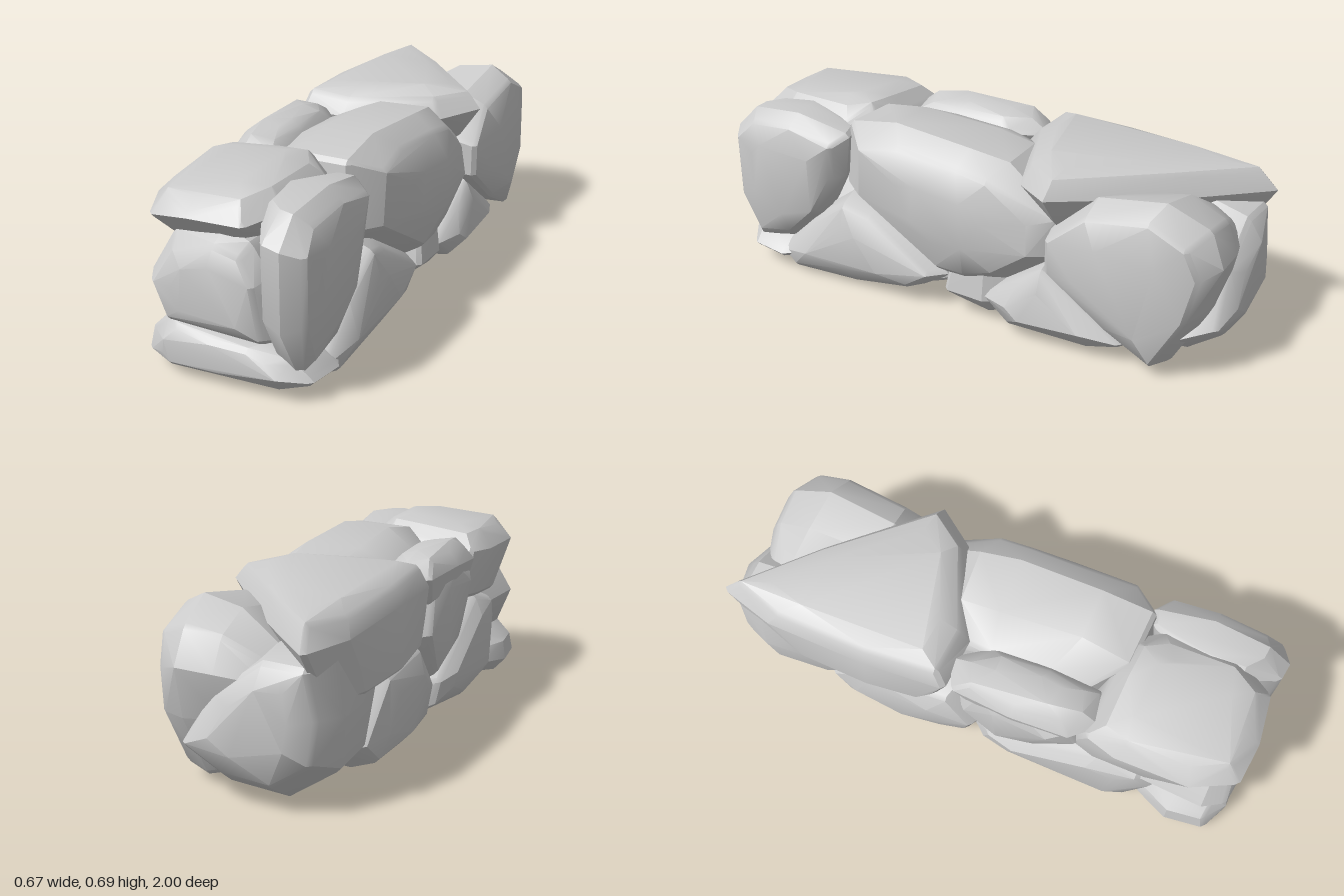
import * as THREE from 'three';
import { toCreasedNormals } from 'three/addons/utils/BufferGeometryUtils.js';
import { ConvexGeometry } from 'three/addons/geometries/ConvexGeometry.js';

const BEVEL = 0.016;
const material = new THREE.MeshStandardMaterial({ color: 0xcccccc });

// Places an outline point (a, b) at depth d along the stone's axis.
const place = {
  x: (a, b, d) => new THREE.Vector3(d, b, a), // outline in (z, y)
  y: (a, b, d) => new THREE.Vector3(a, d, b), // outline in (x, z)
  z: (a, b, d) => new THREE.Vector3(a, b, d), // outline in (x, y)
};
const bevelOffsets = [];
for (const s of [-BEVEL, BEVEL]) {
  bevelOffsets.push(new THREE.Vector3(s, 0, 0), new THREE.Vector3(0, s, 0), new THREE.Vector3(0, 0, s));
}

// A faceted boulder: the outline is repeated in rings [depth, scale, shiftA, shiftB],
// tilted by a slope and slightly uneven in depth, then hulled with a small bevel on every edge.
function stone(name, axis, outline, rings, [slopeA, slopeB] = [0, 0]) {
  const ca = outline.reduce((s, p) => s + p[0], 0) / outline.length;
  const cb = outline.reduce((s, p) => s + p[1], 0) / outline.length;
  const points = [];
  rings.forEach(([depth, scale, shiftA = 0, shiftB = 0], k) => {
    outline.forEach(([a, b], i) => {
      const da = a - ca, db = b - cb;
      const f = scale * (1 - BEVEL / Math.hypot(da, db));
      const d = depth + slopeA * da + slopeB * db + 0.008 * Math.sin(i * 2.4 + k * 1.7);
      const p = place[axis](ca + da * f + shiftA, cb + db * f + shiftB, d);
      for (const o of bevelOffsets) points.push(p.clone().add(o));
    });
  });
  const mesh = new THREE.Mesh(toCreasedNormals(new ConvexGeometry(points), 0.45), material);
  mesh.name = name;
  return mesh;
}

export function createModel() {
  const group = new THREE.Group();
  group.name = 'boulderWall';
  const add = (...args) => group.add(stone(...args));

  // Stones of the +x side
  add('frontPillarStone', 'x',
    [[1, 0.556], [0.92, 0.636], [0.7, 0.66], [0.49, 0.61], [0.5, 0.45], [0.6, 0.26], [0.75, 0.12], [0.92, 0.09], [1, 0.26]],
    [[0.305, 0.55], [0.285, 0.86], [0.24, 1], [0.18, 0.95, 0, 0.015], [0.13, 0.62, 0, 0.09]]);
  add('lowerFrontStone', 'x',
    [[0.49, 0.38], [0.36, 0.34], [0.07, 0.14], [0.17, 0.07], [0.46, 0.005], [0.78, 0.01], [0.85, 0.06], [0.68, 0.24]],
    [[0.305, 0.5], [0.275, 0.88], [0.22, 1], [0.08, 0.9], [0, 0.6]]);
  add('middleStone', 'x',
    [[0.5, 0.65], [0.31, 0.685], [-0.02, 0.665], [-0.18, 0.635], [-0.38, 0.475], [-0.39, 0.33], [-0.2, 0.18],
      [-0.05, 0.13], [0.09, 0.14], [0.37, 0.33], [0.52, 0.41]],
    [[0.31, 0.4], [0.275, 0.8], [0.2, 1], [0, 0.97], [-0.12, 0.72]]);
  add('lowerBackStone', 'x',
    [[-0.34, 0.32], [-0.68, 0.075], [-0.55, 0.04], [-0.18, 0.035], [-0.07, 0.12], [-0.23, 0.24]],
    [[0.3, 0.5], [0.265, 0.9], [0.2, 1], [0.08, 0.92], [0, 0.65]]);
  add('backStone', 'x',
    [[-0.35, 0.46], [-0.5, 0.59], [-0.77, 0.64], [-0.92, 0.57], [-0.97, 0.45], [-0.93, 0.26], [-0.8, 0.03], [-0.6, 0.13], [-0.35, 0.32]],
    [[0.31, 0.55, 0.03, -0.03], [0.285, 0.9, 0.02, -0.015], [0.2, 1], [0.06, 0.88, -0.03], [-0.1, 0.45, -0.1]]);

  // Stones of the -x side
  add('leftMiddleStone', 'x',
    [[0, 0.6], [0.2, 0.62], [0.4, 0.57], [0.43, 0.45], [0.25, 0.26], [0.03, 0.16], [-0.08, 0.35]],
    [[-0.31, 0.55], [-0.285, 0.88], [-0.23, 1], [-0.08, 0.9], [0, 0.6]]);
  add('leftLowerBackStone', 'x',
    [[-0.65, 0.12], [-0.57, 0.04], [-0.3, 0.015], [0, 0.05], [0.03, 0.18], [-0.08, 0.36], [-0.45, 0.34]],
    [[-0.31, 0.55], [-0.28, 0.87], [-0.21, 1], [0.02, 0.92], [0.14, 0.65]]);
  add('leftLowerFrontStone', 'x',
    [[-0.03, 0.06], [0.3, 0.015], [0.65, 0.04], [0.74, 0.28], [0.68, 0.37], [0.5, 0.42], [0.25, 0.28], [0, 0.15]],
    [[-0.31, 0.6], [-0.285, 0.88], [-0.23, 1], [0.08, 0.94, 0.03], [0.18, 0.7, 0.06, -0.03]]);

  // Top stones
  add('topBackStone', 'y',
    [[-0.25, -0.99], [-0.31, -0.8], [-0.335, -0.4], [-0.31, -0.1], [-0.12, -0.08], [0, -0.17], [0.22, -0.22], [0.32, -0.36], [0, -0.74]],
    [[0.645, 0.7], [0.625, 0.9], [0.57, 1], [0.46, 0.87, -0.03], [0.37, 0.68, -0.08]], [0.03, 0.03]);
  add('topSmallStone', 'y',
    [[-0.3, -0.08], [-0.2, -0.12], [-0.12, 0], [-0.1, 0.25], [-0.13, 0.43], [-0.24, 0.46], [-0.31, 0.38], [-0.33, 0.15]],
    [[0.635, 0.45], [0.62, 0.78], [0.58, 1], [0.5, 0.85]]);
  add('topFrontStone', 'y',
    [[-0.325, 0.53], [-0.29, 0.42], [-0.05, 0.43], [0.1, 0.45], [0.16, 0.55], [0.16, 0.85], [0.09, 0.97], [-0.1, 0.99], [-0.25, 0.97], [-0.325, 0.82]],
    [[0.65, 0.55], [0.637, 0.83], [0.59, 1], [0.5, 0.87, -0.02, -0.07], [0.42, 0.72, -0.04, -0.12]], [0.06, -0.03]);

  // Front and back end stones
  add('frontStone', 'z',
    [[-0.31, 0.33], [-0.22, 0.485], [-0.13, 0.5], [-0.02, 0.535], [0.08, 0.5], [0.14, 0.4], [0.165, 0.17], [-0.08, 0.17], [-0.25, 0.185]],
    [[0.965, 0.55, 0.01, -0.02], [0.945, 0.85, 0.005, -0.01], [0.89, 1], [0.62, 0.92]]);
  add('frontBaseStone', 'z',
    [[-0.325, 0.05], [-0.315, 0.13], [-0.25, 0.195], [-0.05, 0.18], [0.16, 0.165], [0.25, 0.13], [0.32, 0.07], [0.2, 0.02], [0, 0.01], [-0.29, 0.01]],
    [[0.965, 0.7, 0, 0.015], [0.92, 0.95, 0, 0.005], [0.79, 1], [0.67, 0.8], [0.57, 0.5]]);
  add('backBaseStone', 'z',
    [[-0.325, 0.32], [-0.29, 0.52], [-0.1, 0.53], [0.12, 0.38], [0.26, 0.15], [0.1, 0.04], [-0.13, 0.02], [-0.3, 0.13]],
    [[-0.975, 0.5, 0, 0.03], [-0.94, 0.8, 0, 0.02], [-0.83, 1], [-0.62, 0.95], [-0.45, 0.7]]);

  // Filler between the lower stones
  add('fillerStone', 'y',
    [[0.02, -0.3], [0.17, -0.28], [0.28, -0.1], [0.27, 0.06], [0.12, 0.08], [-0.02, -0.1]],
    [[0.06, 0.7], [0.1, 1], [0.2, 0.9]]);
  return group;
}
